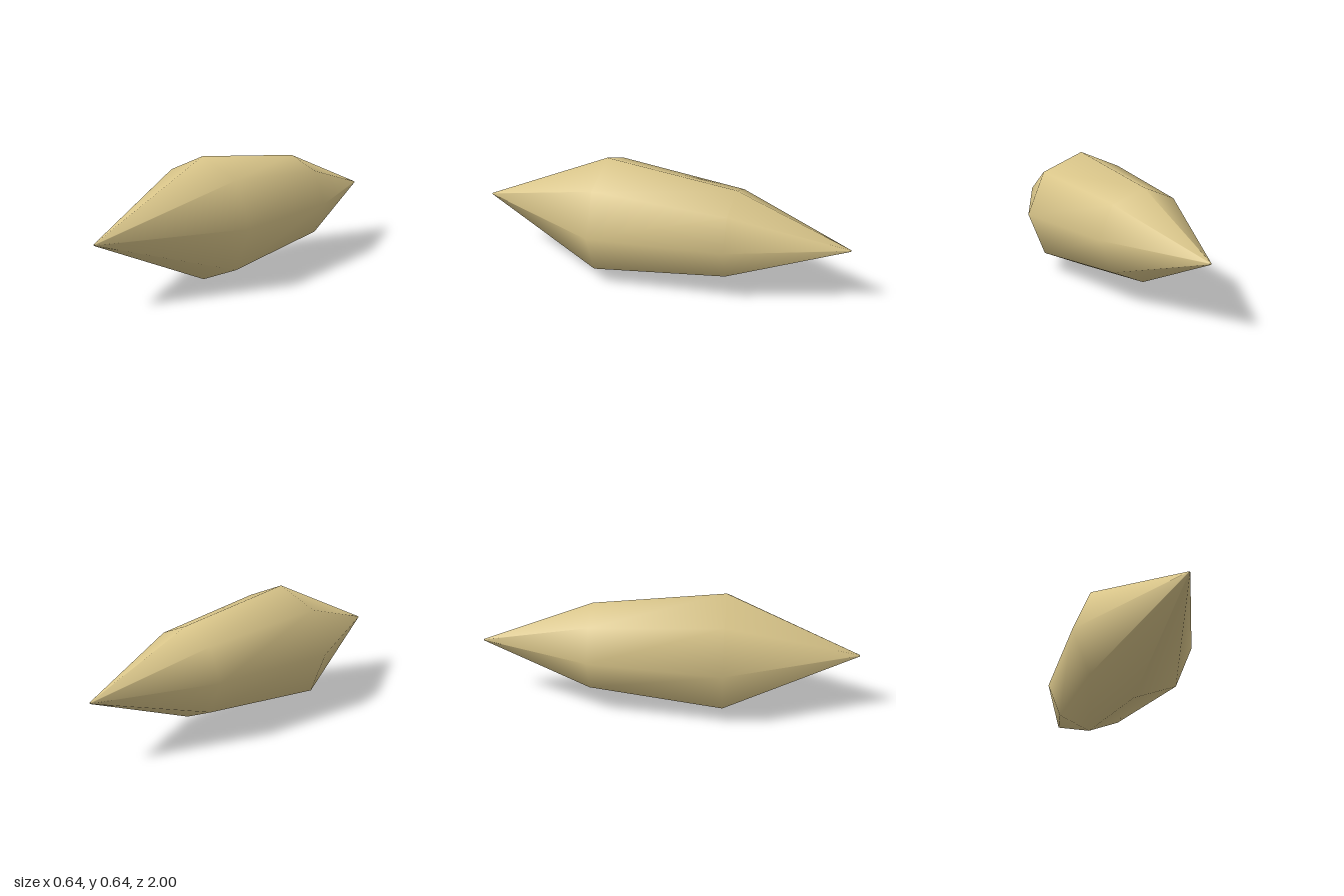
import * as THREE from 'three';

export function createModel() {
  const group = new THREE.Group();
  group.name = 'spindle';
  const sand = new THREE.MeshStandardMaterial({ color: 0xdac68a, side: THREE.DoubleSide });
  sand.name = 'sand';

  // Eight-sided spindle, from the back tip to the front tip, with pinhole ends
  const profile = [[0.004, -1], [0.24, -0.4], [0.32, 0.3], [0.004, 1]]
    .map(([r, z]) => new THREE.Vector2(r, z));
  const geometry = new THREE.LatheGeometry(profile, 8);
  geometry.rotateX(Math.PI / 2); // lay the axis along z

  const body = new THREE.Mesh(geometry, sand);
  body.name = 'body';
  body.position.y = 0.32;
  group.add(body);
  return group;
}
